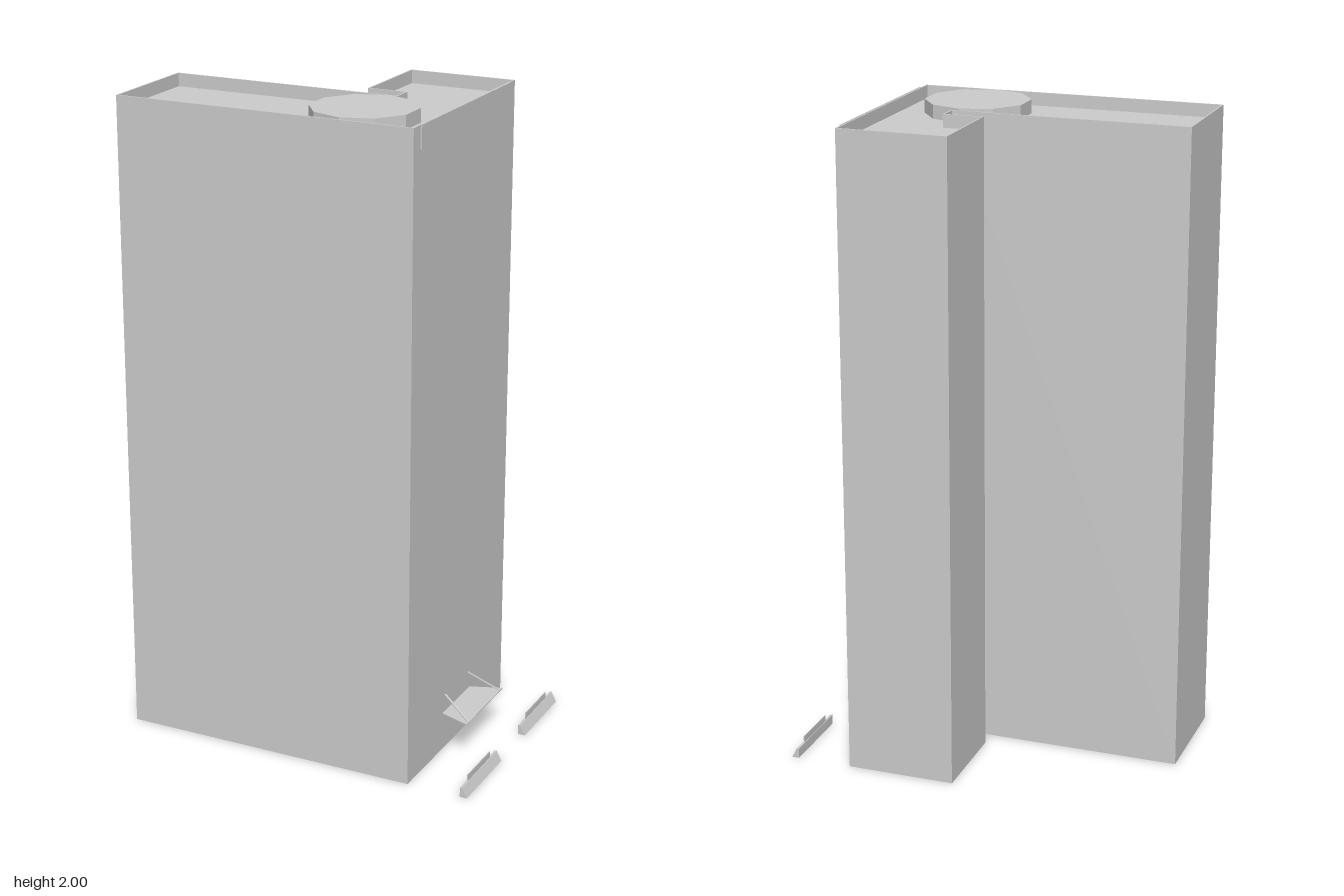
import * as THREE from 'three';

const grey = new THREE.MeshStandardMaterial({ color: 0xcccccc, flatShading: true, side: THREE.DoubleSide });

function add(parent, name, geometry, x = 0, y = 0, z = 0) {
  const mesh = new THREE.Mesh(geometry, grey);
  mesh.name = name;
  mesh.position.set(x, y, z);
  parent.add(mesh);
  return mesh;
}

// L-shaped plan with a notch in its inner corner, inset by t; points are (x, -z)
const plan = (t) => [
  [-0.57 + t, 0.35 - t], [0.373 - t, 0.35 - t], [0.373 - t, -0.353 + t], [0.035 + t, -0.353 + t],
  [0.035 + t, -0.057 - t], [0.155 + t, -0.057 - t], [0.155 + t, t], [-0.57 + t, t],
].map(([x, z]) => new THREE.Vector2(x, -z));

export function createModel() {
  const model = new THREE.Group();
  model.name = 'tower';

  // Thin outer walls, open underneath, rising past the roof as a parapet
  const ring = new THREE.Shape(plan(0));
  ring.holes.push(new THREE.Path(plan(0.005)));
  const walls = new THREE.ExtrudeGeometry(ring, { depth: 1.997, bevelEnabled: false });
  add(model, 'walls', walls.rotateX(-Math.PI / 2));

  // Sunken flat roof
  const roof = new THREE.ShapeGeometry(new THREE.Shape(plan(0.004)));
  add(model, 'roof', roof.rotateX(-Math.PI / 2), 0, 1.957, 0);

  // Ten-sided landing pad
  add(model, 'landingPad', new THREE.CylinderGeometry(0.16, 0.16, 0.042, 10), 0.138, 1.979, 0.174);

  // Thin fascia panel at the top of the entrance side
  add(model, 'fasciaPanel', new THREE.BoxGeometry(0.005, 0.068, 0.615), 0.375, 1.964, -0.002);

  // Entrance canopy: flaring slab hung from two flat stays
  const canopy = new THREE.Group();
  canopy.name = 'canopy';
  model.add(canopy);
  const slab = new THREE.Shape([[0.373, -0.102], [0.47, -0.138], [0.47, 0.138], [0.373, 0.102]]
    .map(([x, y]) => new THREE.Vector2(x, y)));
  add(canopy, 'canopySlab', new THREE.ExtrudeGeometry(slab, { depth: 0.003, bevelEnabled: false })
    .rotateX(-Math.PI / 2), 0, 0.12, 0);
  for (const side of [-1, 1]) {
    const top = new THREE.Vector3(0.374, 0.18, side * 0.086);
    const foot = new THREE.Vector3(0.469, 0.122, side * 0.121);
    const stay = add(canopy, 'canopyStay', new THREE.BoxGeometry(0.006, 0.003, top.distanceTo(foot)));
    stay.position.lerpVectors(top, foot, 0.5);
    stay.lookAt(foot);
  }

  // Two low wedge-shaped kerb signs in front of the entrance, each with a raised back plate
  const wedge = new THREE.Shape([[0.544, 0], [0.567, 0], [0.551, 0.031], [0.544, 0.031]]
    .map(([x, y]) => new THREE.Vector2(x, y)));
  for (const z of [-0.224, 0.221]) {
    const kerb = new THREE.Group();
    kerb.name = 'kerbSign';
    kerb.position.z = z;
    model.add(kerb);
    add(kerb, 'kerbBase', new THREE.ExtrudeGeometry(wedge, { depth: 0.26, bevelEnabled: false }), 0, 0, -0.13);
    add(kerb, 'kerbPlate', new THREE.BoxGeometry(0.003, 0.022, 0.163), 0.5475, 0.04, 0);
  }

  return model;
}
